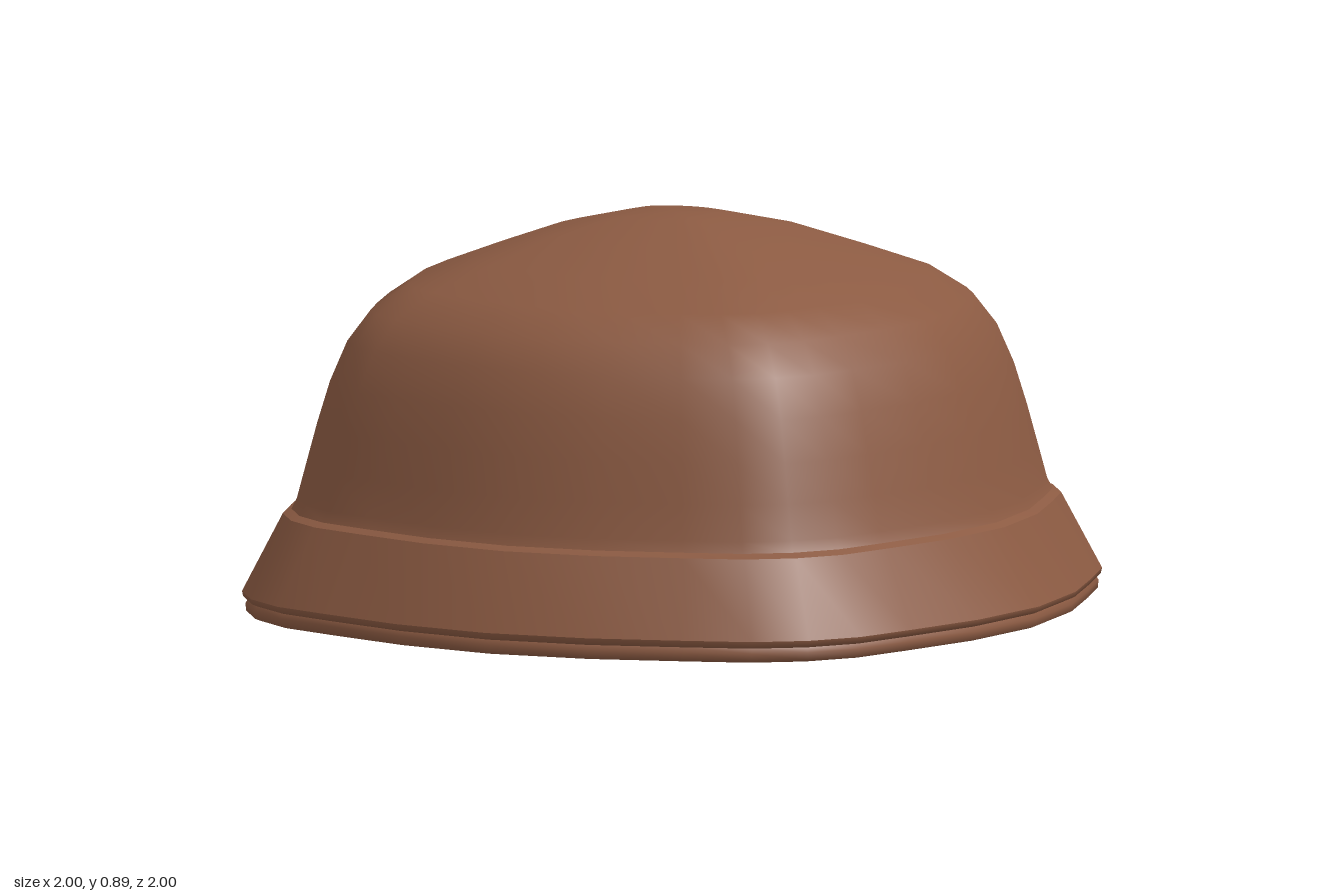
import * as THREE from 'three';
import { mergeVertices } from 'three/addons/utils/BufferGeometryUtils.js';

// One eighth of the plan outline: [angle in degrees, radius factor], softly pointed on the axes
const OUTLINE = [[0, 1], [7.5, 0.988], [16.5, 0.95], [30, 0.932], [45, 0.93]];
const SEGMENTS = 32;

// Lathe a profile, then reshape each ring to the four-cornered outline
function shell(name, profile, material) {
  const points = profile.map(([r, y]) => new THREE.Vector2(r, y));
  const lathe = new THREE.LatheGeometry(points, SEGMENTS);
  const pos = lathe.attributes.position;
  for (let i = 0; i < pos.count; i++) {
    const seg = Math.floor(i / points.length) % SEGMENTS;
    const radius = points[i % points.length].x;
    const step = seg % 8;
    const [deg, factor] = OUTLINE[step <= 4 ? step : 8 - step];
    const local = step <= 4 ? deg : 90 - deg;
    const angle = THREE.MathUtils.degToRad(Math.floor(seg / 8) * 90 + local);
    pos.setX(i, radius * factor * Math.sin(angle));
    pos.setZ(i, radius * factor * Math.cos(angle));
  }
  lathe.deleteAttribute('normal');
  lathe.deleteAttribute('uv');
  const geometry = mergeVertices(lathe);
  geometry.computeVertexNormals();
  const mesh = new THREE.Mesh(geometry, material);
  mesh.name = name;
  return mesh;
}

export function createModel() {
  const leather = new THREE.MeshStandardMaterial({ color: 0x8b5a42 });
  leather.name = 'brown leather';

  // Outer profiles run from bottom to top so that they face outwards
  const crown = [
    [0.885, 0.235], [0.872, 0.26], [0.85, 0.34], [0.825, 0.43], [0.795, 0.525],
    [0.755, 0.615], [0.7, 0.685], [0.61, 0.742], [0.46, 0.795], [0.3, 0.848],
    [0.13, 0.885], [0, 0.89],
  ];
  const inner = crown.map(([r, y]) => [Math.max(0, r - 0.012), y - 0.01]).reverse();

  const group = new THREE.Group();
  group.name = 'hat';
  group.add(
    shell('crown', crown, leather),
    shell('brimLedge', [[0.905, 0.225], [0.885, 0.235]], leather),
    shell('brim', [[1, 0.05], [0.905, 0.225]], leather),
    // Two small beads around the rim
    shell('upperBead', [[0.985, 0.033], [0.997, 0.038], [1, 0.05]], leather),
    shell('lowerBead', [[0.978, 0], [0.99, 0.005], [0.992, 0.022], [0.985, 0.033]], leather),
    shell('rimEdge', [[0.96, 0.006], [0.978, 0]], leather),
    // Inner faces run from top to bottom
    shell('crownLining', inner, leather),
    shell('brimLining', [[0.873, 0.225], [0.978, 0.045]], leather),
    shell('rimLining', [[0.978, 0.045], [0.97, 0.03], [0.96, 0.006]], leather),
  );
  return group;
}
